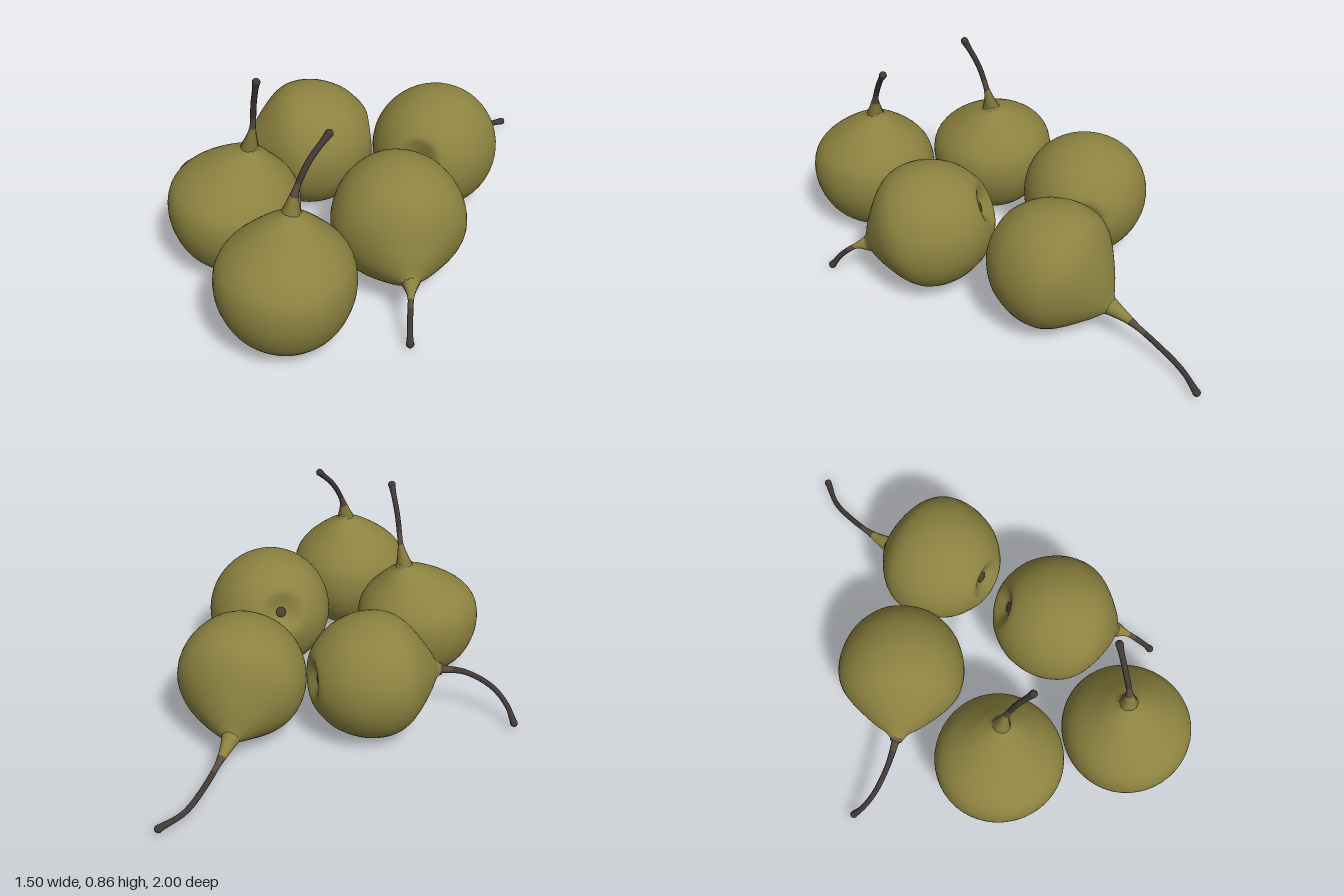
import * as THREE from 'three';
import { mergeVertices } from 'three/addons/utils/BufferGeometryUtils.js';

const V = (a) => new THREE.Vector3(...a);

// Half outline of the fruit around its belly: dimpled base, round belly, conical shoulder
const OUTLINE = [
  [0, -0.225], [0.03, -0.227], [0.06, -0.241], [0.1, -0.251], [0.157, -0.217],
  [0.213, -0.157], [0.25, -0.075], [0.261, 0], [0.252, 0.07], [0.228, 0.12],
  [0.195, 0.16], [0.152, 0.2], [0.097, 0.245], [0.045, 0.28], [0.024, 0.305], [0, 0.31],
];
const NECK = 0.29;

// Each fruit: belly centre, core direction, stem path, green share of stem, stem foot flare, calyx radius
const PEARS = [
  { name: 'backPear', at: [0.13, 0.262, -0.31], axis: [-0.13, -0.075, -0.27], green: 0.2, flare: 1, calyx: 0.025,
    stem: [[0.008, 0.135, -0.52], [-0.02, 0.11, -0.6], [-0.055, 0.065, -0.74], [-0.07, 0.03, -0.87], [-0.047, 0.017, -0.985]] },
  { name: 'rightPear', at: [-0.267, 0.257, 0.04], axis: [-0.33, -0.03, 0.43], green: 0, flare: 0.25, calyx: 0.025,
    stem: [[-0.428, 0.235, 0.262], [-0.52, 0.215, 0.34], [-0.62, 0.155, 0.395], [-0.69, 0.085, 0.408], [-0.735, 0.018, 0.4]] },
  { name: 'leftPear', at: [0.405, 0.267, 0.195], axis: [0.39, -0.2, 0.29], green: 0.3, flare: 1, calyx: 0.022,
    stem: [[0.615, 0.16, 0.345], [0.655, 0.135, 0.385], [0.7, 0.08, 0.435], [0.735, 0.017, 0.47]] },
  { name: 'frontRightPear', at: [-0.13, 0.257, 0.565], axis: [0.02, 0.3, -0.005], green: 0.28, flare: 1, calyx: 0.04,
    stem: [[-0.09, 0.505, 0.505], [-0.07, 0.6, 0.502], [-0.04, 0.72, 0.515], [0.01, 0.84, 0.538]] },
  { name: 'frontLeftPear', at: [0.373, 0.256, 0.74], axis: [0, 0.3, 0], green: 0.2, flare: 1, calyx: 0.04,
    stem: [[0.37, 0.53, 0.7], [0.373, 0.61, 0.68], [0.38, 0.71, 0.62], [0.396, 0.793, 0.54]] },
];

// Lathed fruit whose shoulder bends over to meet the foot of the stem
function bodyGeometry(foot, phase) {
  const shoulder = foot.y / NECK;
  const curve = new THREE.SplineCurve(OUTLINE.map(([r, y]) => new THREE.Vector2(r, y > 0 ? y * shoulder : y)));
  const profile = curve.getPoints(60).map((p) => new THREE.Vector2(Math.max(0, p.x), p.y));
  const geo = new THREE.LatheGeometry(profile, 48);
  const pos = geo.attributes.position;
  for (let i = 0; i < pos.count; i++) {
    const x = pos.getX(i), z = pos.getZ(i), a = Math.atan2(z, x);
    const swell = 1 + 0.007 * Math.sin(3 * a + phase) + 0.005 * Math.sin(2 * a - phase);
    const bend = Math.pow(Math.max(0, pos.getY(i) / foot.y), 3);
    pos.setX(i, x * swell + foot.x * bend);
    pos.setZ(i, z * swell + foot.z * bend);
  }
  geo.deleteAttribute('uv');
  geo.deleteAttribute('normal');
  const merged = mergeVertices(geo, 1e-5);
  merged.computeVertexNormals();
  return merged;
}

// Stem thickness along its length: flared foot, thin middle, slightly swollen tip
function stemRadius(t, flare) {
  const foot = 0.026 * flare * Math.pow(Math.max(0, 1 - t / 0.32), 1.6);
  return 0.0115 + foot + 0.003 * THREE.MathUtils.smoothstep(t, 0.85, 1);
}

function stemGeometry(curve, green, flare) {
  const segments = 40, sides = 10;
  const geo = new THREE.TubeGeometry(curve, segments, 1, sides);
  const pos = geo.attributes.position, p = new THREE.Vector3();
  for (let i = 0; i < pos.count; i++) {
    const t = Math.floor(i / (sides + 1)) / segments;
    const c = curve.getPointAt(t);
    p.fromBufferAttribute(pos, i).sub(c).multiplyScalar(stemRadius(t, flare)).add(c);
    pos.setXYZ(i, p.x, p.y, p.z);
  }
  // Green foot, brown transition, dark remainder
  const ring = sides * 6;
  const a = Math.round(green * segments), b = a + 6;
  geo.addGroup(0, a * ring, 0);
  geo.addGroup(a * ring, (b - a) * ring, 1);
  geo.addGroup(b * ring, (segments - b) * ring, 2);
  return geo;
}

export function createModel() {
  const mat = (name, color) => {
    const m = new THREE.MeshStandardMaterial({ color });
    m.name = name;
    return m;
  };
  const skin = mat('olive skin', 0x8c8240);
  const brown = mat('stem brown', 0x5a4c3e);
  const dark = mat('dark stem', 0x403937);
  const collarMat = mat('collar brown', 0x6a5a50);
  const calyxMat = mat('calyx', 0x4a4230);

  const model = new THREE.Group();
  model.name = 'pears';
  const up = new THREE.Vector3(0, 1, 0);
  const add = (parent, name, geo, material) => {
    const mesh = new THREE.Mesh(geo, material);
    mesh.name = name;
    parent.add(mesh);
    return mesh;
  };

  PEARS.forEach((spec, i) => {
    const pear = new THREE.Group();
    pear.name = spec.name;
    model.add(pear);

    // Fruit and its dark base
    const fruit = new THREE.Group();
    fruit.name = 'fruit';
    fruit.position.copy(V(spec.at));
    fruit.quaternion.setFromUnitVectors(up, V(spec.axis).normalize());
    pear.add(fruit);
    const foot = V(spec.stem[0]).sub(fruit.position).applyQuaternion(fruit.quaternion.clone().invert());
    add(fruit, 'body', bodyGeometry(foot, i * 1.7), skin);
    const calyx = add(fruit, 'calyx', new THREE.SphereGeometry(spec.calyx, 14, 8), calyxMat);
    calyx.scale.y = 0.25;
    calyx.position.y = -0.226;

    // Curved stem with a rounded tip
    const curve = new THREE.CatmullRomCurve3(spec.stem.map(V));
    add(pear, 'stem', stemGeometry(curve, spec.green, spec.flare), [skin, brown, dark]);
    const tip = add(pear, 'stemTip', new THREE.SphereGeometry(0.016, 12, 8), dark);
    tip.position.copy(curve.getPoint(1));

    // Brown collar where a stem leaves the fruit without a green foot
    if (spec.green === 0) {
      const collar = add(pear, 'stemCollar', new THREE.CylinderGeometry(0.024, 0.034, 0.03, 8), collarMat);
      collar.position.copy(curve.getPointAt(0.02));
      collar.quaternion.setFromUnitVectors(up, curve.getTangentAt(0.02));
    }
  });
  return model;
}
